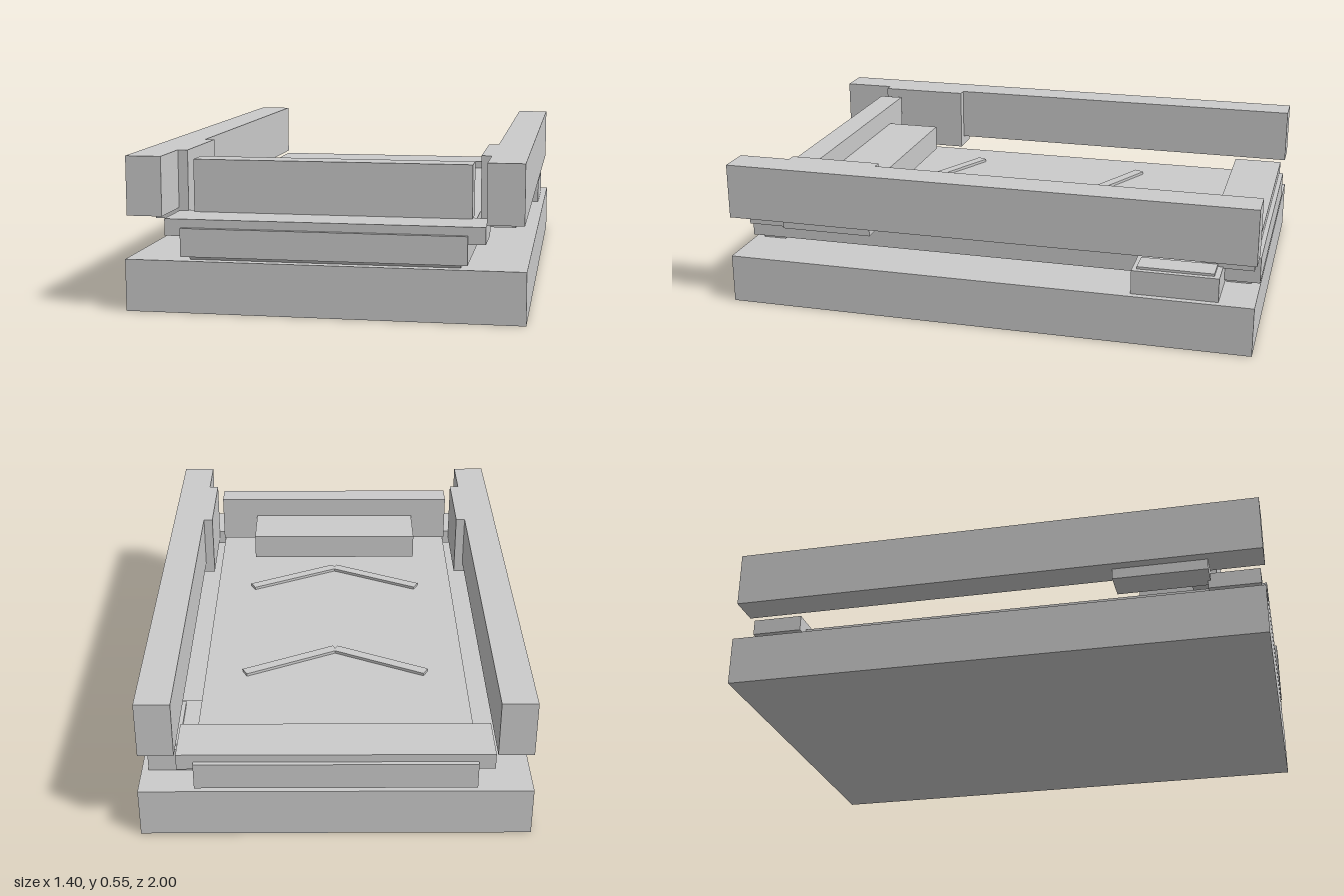
import * as THREE from 'three';

const material = new THREE.MeshStandardMaterial({ color: 0xcccccc, flatShading: true });

export function createModel() {
  const model = new THREE.Group();

  const add = (name, geometry, parent = model) => {
    const mesh = new THREE.Mesh(geometry, material);
    mesh.name = name;
    parent.add(mesh);
    return mesh;
  };
  // Box given by its extents along each axis
  const box = (name, [x0, x1], [y0, y1], [z0, z1]) => {
    const mesh = add(name, new THREE.BoxGeometry(x1 - x0, y1 - y0, z1 - z0));
    mesh.position.set((x0 + x1) / 2, (y0 + y1) / 2, (z0 + z1) / 2);
    return mesh;
  };

  // Base frame and moving bed
  box('base', [-0.7, 0.7], [0, 0.185], [-1, 1]);
  box('bed', [-0.5, 0.5], [0.2, 0.3], [-1, 1]);

  // End rollers under the bed, with a cross bar above each
  for (const [end, s] of [['front', 1], ['back', -1]]) {
    const roller = add(end + 'Roller', new THREE.CylinderGeometry(0.061, 0.061, 0.95, 24));
    roller.rotation.z = Math.PI / 2;
    roller.position.set(0, 0.226, 0.92 * s);
    const bar = box(end + 'CrossBar', [-0.56, 0.56], [0.27, 0.33], [0.79, 0.983]);
    bar.position.z *= s;
  }

  // Side rails with a thicker bracket near the front
  for (const [side, s] of [['left', 1], ['right', -1]]) {
    const rail = box(side + 'Rail', [0.563, 0.69], [0.34, 0.55], [-1, 1]);
    const bracket = box(side + 'RailBracket', [0.527, 0.65], [0.3, 0.55], [0.45, 0.8]);
    rail.position.x *= s;
    bracket.position.x *= s;
  }

  // Front panel and the ledge behind it
  box('frontPanel', [-0.5, 0.5], [0.33, 0.52], [0.725, 0.82]);
  box('ledge', [-0.348, 0.348], [0.34, 0.44], [0.51, 0.725]);

  // Motor housing beside the bed, on the left only
  box('motorHousing', [0.48, 0.675], [0.185, 0.275], [-0.87, -0.553]);
  box('motorCover', [0.56, 0.655], [0.275, 0.284], [-0.85, -0.57]);

  // V-shaped chevrons on the bed
  for (const z of [0.385, -0.315]) {
    const chevron = new THREE.Group();
    chevron.name = 'chevron';
    chevron.position.set(0, 0.305, z);
    for (const s of [1, -1]) {
      const arm = add('chevronArm', new THREE.BoxGeometry(0.39, 0.012, 0.04), chevron);
      arm.position.x = 0.175 * s;
      arm.rotation.y = 0.464 * s;
    }
    model.add(chevron);
  }

  return model;
}
